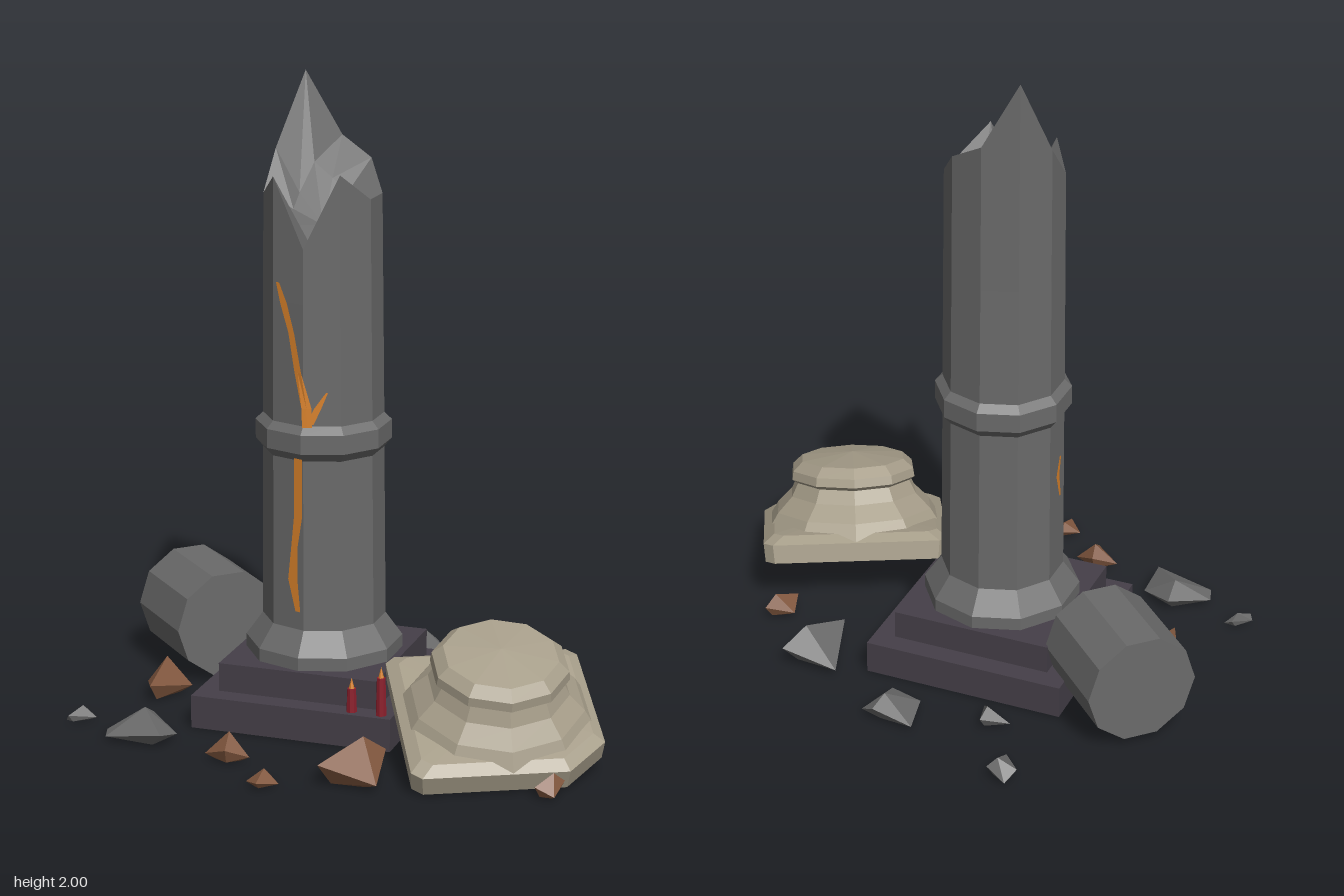
import * as THREE from 'three';
import { ConvexGeometry } from 'three/addons/geometries/ConvexGeometry.js';

const SIDES = 10;
const CX = -0.132, CZ = -0.014; // column axis

const mat = (name, color, side = THREE.FrontSide) => {
  const m = new THREE.MeshStandardMaterial({ color, side });
  m.name = name;
  return m;
};

// Faceted normals
function flat(geometry) {
  const g = geometry.index ? geometry.toNonIndexed() : geometry;
  g.computeVertexNormals();
  return g;
}

// Skin between closed rings of equal length, listed from bottom to top
function loft(rings) {
  const pos = [];
  for (let i = 0; i < rings.length - 1; i++) {
    const a = rings[i], b = rings[i + 1], n = a.length;
    for (let k = 0; k < n; k++) {
      const j = (k + 1) % n;
      pos.push(...a[k], ...a[j], ...b[j], ...a[k], ...b[j], ...b[k]);
    }
  }
  const g = new THREE.BufferGeometry();
  g.setAttribute('position', new THREE.Float32BufferAttribute(pos, 3));
  return flat(g);
}

// Ten-sided ring; y may be one height or one height per corner
const ring = (r, y) => Array.from({ length: SIDES }, (_, k) => {
  const t = (k / SIDES) * Math.PI * 2;
  return [r * Math.sin(t), Array.isArray(y) ? y[k] : y, r * Math.cos(t)];
});

// Square ring with cut corners, one of them broken away
function squareRing(h, y, cut, broken) {
  const b = broken;
  return [
    [-h + cut, h], [h - b, h], [h, h - b], [h, -h + cut],
    [h - cut, -h], [-h + cut, -h], [-h, -h + cut], [-h, h - cut],
  ].map(([x, z]) => [x, y, z]);
}

// Shaft surface point at a distance u around from the given yaw
function onShaft(u, y, yaw) {
  const r = 0.193 - (y - 0.3) * 0.0085;
  const t = yaw + u / r, step = (Math.PI * 2) / SIDES;
  const local = t - Math.floor(t / step) * step - step / 2;
  const d = (r * Math.cos(step / 2)) / Math.cos(local) + 0.007;
  return [d * Math.sin(t), y, d * Math.cos(t)];
}

// Ribbon of [u, y, width] points laid on the shaft
function crackGeometry(points, yaw) {
  const pos = [];
  const row = ([u, y, w]) => [-w / 2, 0, w / 2].map((o) => onShaft(u + o, y, yaw));
  for (let i = 0; i < points.length - 1; i++) {
    const a = row(points[i + 1]), b = row(points[i]);
    for (let k = 0; k < 2; k++) {
      pos.push(...a[k], ...a[k + 1], ...b[k + 1], ...a[k], ...b[k + 1], ...b[k]);
    }
  }
  const g = new THREE.BufferGeometry();
  g.setAttribute('position', new THREE.Float32BufferAttribute(pos, 3));
  return flat(g);
}

// Convex shard from a footprint seen from above and a height
function shardGeometry(height, outline) {
  const n = outline.length;
  const cx = outline.reduce((s, p) => s + p[0], 0) / n;
  const cz = outline.reduce((s, p) => s + p[1], 0) / n;
  const pts = [];
  outline.forEach(([x, z], i) => {
    pts.push(new THREE.Vector3(x, height * (i % 2 ? 0.55 : 0.2), z));
    pts.push(new THREE.Vector3(cx + (x - cx) * 0.6, 0.005, cz + (z - cz) * 0.6));
  });
  const [ax, az] = outline[1];
  pts.push(new THREE.Vector3(cx + (ax - cx) * 0.35, height, cz + (az - cz) * 0.35));
  return flat(new ConvexGeometry(pts));
}

export function createModel() {
  const stone = mat('grey stone', 0x6a6a6a);
  const dark = mat('dark plinth stone', 0x453f48);
  const pale = mat('pale stone', 0xa79e8a);
  const brick = mat('brown rubble', 0x82583f);
  const glow = mat('orange glow', 0xd9822b, THREE.DoubleSide);
  const wax = mat('red wax', 0x8c1f2c);

  const model = new THREE.Group();
  model.name = 'ruinedColumn';
  const add = (parent, name, geometry, material, x = 0, y = 0, z = 0) => {
    const m = new THREE.Mesh(geometry, material);
    m.name = name;
    m.position.set(x, y, z);
    parent.add(m);
    return m;
  };

  // Stepped plinth
  add(model, 'lowerPlinth', new THREE.BoxGeometry(0.65, 0.105, 0.65), dark, CX, 0.0525, CZ);
  add(model, 'upperPlinth', new THREE.BoxGeometry(0.515, 0.092, 0.515), dark, CX, 0.15, CZ);

  // Standing column
  const column = new THREE.Group();
  column.name = 'column';
  column.position.set(CX, 0, CZ);
  model.add(column);
  add(column, 'columnBase', loft([
    ring(0, 0.194), ring(0.246, 0.194), ring(0.246, 0.237), ring(0.193, 0.31),
  ]), stone);
  add(column, 'lowerShaft', loft([ring(0.193, 0.3), ring(0.188, 0.87)]), stone);
  add(column, 'collar', loft([
    ring(0.186, 0.85), ring(0.211, 0.88), ring(0.211, 0.94), ring(0.186, 0.965),
  ]), stone);

  // Broken upper shaft with a jagged rim and a hollow top
  const rim = [1.51, 1.735, 1.65, 1.65, 1.74, 1.8, 2.0, 1.77, 1.65, 1.72];
  const inner = [1.49, 1.6, 1.6, 1.6, 1.64, 1.68, 1.73, 1.64, 1.6, 1.56];
  add(column, 'brokenShaft', loft([
    ring(0.188, 0.94), ring(0.184, 1.34), ring(0.181, rim), ring(0.09, inner), ring(0, 1.55),
  ]), stone);

  // Glowing cracks
  const cracks = [
    [0, [[-0.092, 1.4, 0.012], [-0.07, 1.34, 0.026], [-0.04, 1.25, 0.022],
      [-0.016, 1.13, 0.024], [0.012, 1.02, 0.03], [0.014, 0.96, 0.03]]],
    [0, [[0.074, 1.07, 0.006], [0.045, 1.02, 0.022], [0.022, 0.97, 0.022]]],
    [0, [[-0.016, 0.86, 0.028], [-0.016, 0.68, 0.03], [-0.03, 0.58, 0.024],
      [-0.037, 0.47, 0.036], [-0.018, 0.37, 0.018]]],
    [-Math.PI / 2, [[0.01, 0.72, 0.012], [-0.01, 0.66, 0.024], [0.01, 0.58, 0.01]]],
  ];
  for (const [yaw, points] of cracks) add(column, 'crack', crackGeometry(points, yaw), glow);

  // Fallen drum lying on its side
  const drum = new THREE.CylinderGeometry(0.177, 0.177, 0.325, SIDES);
  drum.rotateY(Math.PI / SIDES).rotateX(Math.PI / 2).rotateY(Math.PI / 4);
  add(model, 'fallenDrum', flat(drum), stone, -0.617, 0.19, -0.245);

  // Fallen capital resting on the plinth
  const capital = new THREE.Group();
  capital.name = 'fallenCapital';
  capital.position.set(0.505, 0.09, 0.24);
  capital.rotation.set(0.29, 0.464, 0, 'YXZ');
  model.add(capital);
  add(capital, 'capitalSlab', loft([
    squareRing(0, 0, 0, 0), squareRing(0.295, 0, 0.03, 0.13), squareRing(0.3, 0.062, 0.03, 0.13),
    squareRing(0.265, 0.085, 0.03, 0.11), squareRing(0, 0.1, 0, 0),
  ]), pale);
  add(capital, 'capitalBell', loft([
    ring(0.3, 0.06), ring(0.265, 0.115), ring(0.215, 0.165), ring(0.19, 0.215),
  ]), pale);
  add(capital, 'capitalCrown', loft([
    ring(0.18, 0.2), ring(0.212, 0.222), ring(0.208, 0.25), ring(0.175, 0.28), ring(0, 0.298),
  ]), pale);

  // Candles on the step
  for (const [x, h] of [[0.06, 0.075], [0.155, 0.12]]) {
    const candle = new THREE.Group();
    candle.name = 'candle';
    candle.position.set(x, 0.105, 0.28);
    model.add(candle);
    add(candle, 'candleStick', flat(new THREE.CylinderGeometry(0.014, 0.017, h, 8)), wax, 0, h / 2, 0);
    add(candle, 'flame', flat(new THREE.ConeGeometry(0.009, 0.035, 6)), glow, 0, h + 0.0175, 0);
  }

  // Rubble around the foot
  const greyShards = [
    [0.065, [[-0.44, -0.74], [-0.37, -0.71], [-0.39, -0.6], [-0.46, -0.69]]],
    [0.07, [[-0.34, -0.45], [-0.26, -0.5], [-0.23, -0.39]]],
    [0.09, [[-0.07, -0.59], [0.06, -0.59], [0.11, -0.56], [0.05, -0.46], [-0.04, -0.45]]],
    [0.12, [[0.27, -0.41], [0.45, -0.42], [0.44, -0.2], [0.34, -0.19]]],
    [0.09, [[-0.68, 0.45], [-0.57, 0.34], [-0.46, 0.42], [-0.47, 0.53], [-0.66, 0.51]]],
    [0.05, [[-0.84, 0.4], [-0.79, 0.34], [-0.76, 0.35], [-0.83, 0.41]]],
  ];
  const brownShards = [
    [0.12, [[-0.72, 0.03], [-0.65, 0], [-0.57, 0.02], [-0.65, 0.18]]],
    [0.09, [[-0.32, 0.54], [-0.25, 0.49], [-0.18, 0.53], [-0.24, 0.58]]],
    [0.05, [[-0.13, 0.69], [-0.08, 0.64], [-0.03, 0.68], [-0.08, 0.74]]],
    [0.13, [[0.05, 0.5], [0.23, 0.46], [0.26, 0.64], [0.08, 0.65]]],
    [0.08, [[0.54, -0.15], [0.62, -0.2], [0.64, -0.13], [0.56, -0.08]]],
    [0.07, [[0.7, 0.47], [0.78, 0.45], [0.77, 0.53], [0.71, 0.53]]],
  ];
  for (const [h, outline] of greyShards) add(model, 'stoneShard', shardGeometry(h, outline), stone);
  for (const [h, outline] of brownShards) add(model, 'brickShard', shardGeometry(h, outline), brick);

  return model;
}
